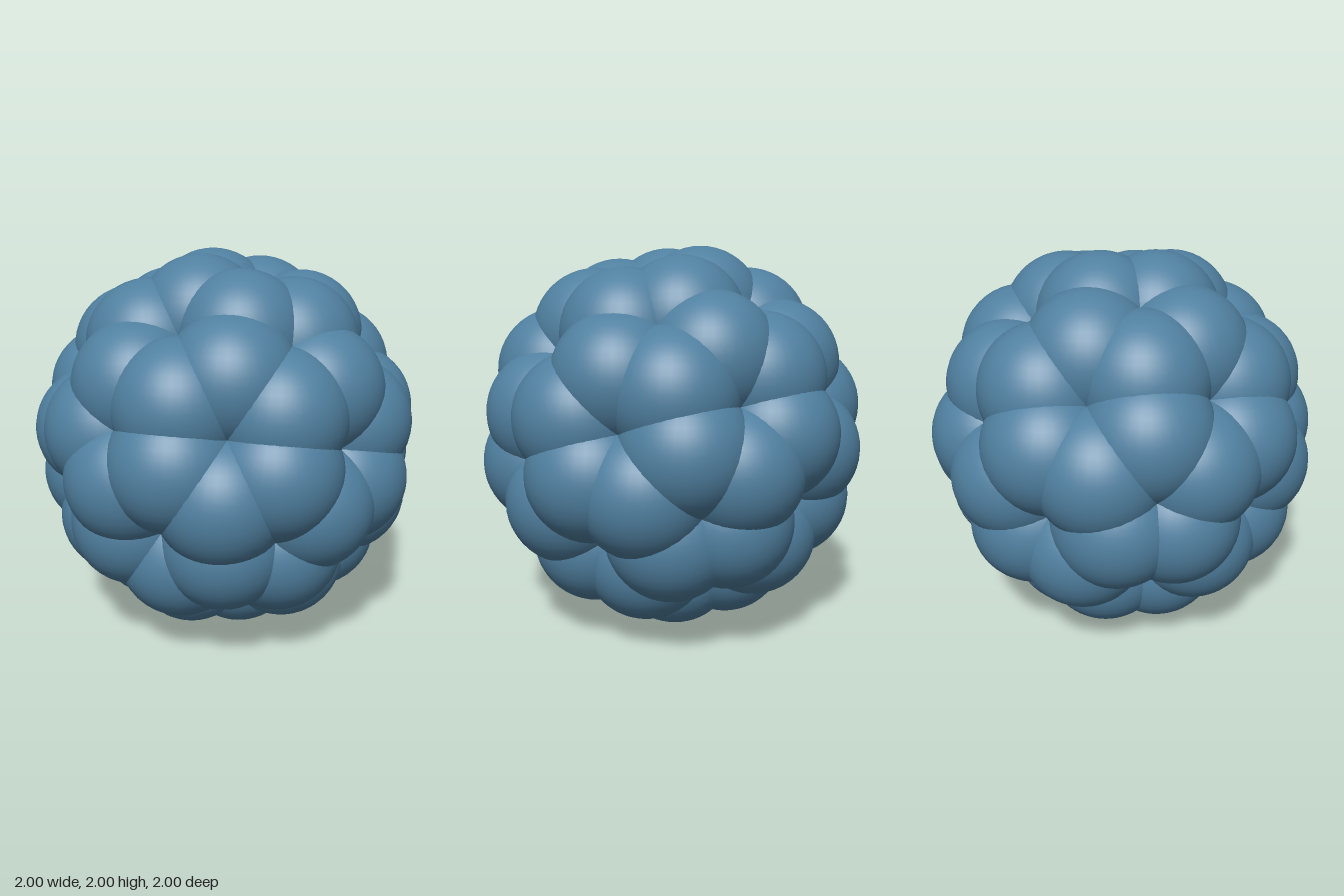
import * as THREE from 'three';

// Hollow cage of 60 overlapping balls, one on each corner of a truncated icosahedron
const CAGE_RADIUS = 0.6875;
const BALL_RADIUS = 0.329;
const CUT = 0.337; // how far along each icosahedron edge a ball sits

// The twelve corners of an icosahedron: three golden rectangles
function icosahedronCorners() {
  const phi = (1 + Math.sqrt(5)) / 2;
  const corners = [];
  for (const a of [-phi, phi]) {
    for (const b of [-1, 1]) {
      corners.push(
        new THREE.Vector3(a, b, 0),
        new THREE.Vector3(0, a, b),
        new THREE.Vector3(b, 0, a),
      );
    }
  }
  return corners;
}

export function createModel() {
  const model = new THREE.Group();
  model.name = 'ballCage';

  // Tilt of the whole cage
  const xAxis = new THREE.Vector3(0.3992, 0.3904, 0.8297).normalize();
  const zAxis = xAxis.clone().cross(new THREE.Vector3(-0.7238, 0.6896, 0.0236)).normalize();
  const yAxis = zAxis.clone().cross(xAxis);
  const tilt = new THREE.Matrix4().makeBasis(xAxis, yAxis, zAxis);

  const geometry = new THREE.SphereGeometry(BALL_RADIUS, 40, 24);
  const material = new THREE.MeshStandardMaterial({ color: 0x5080a0 });

  // Two balls on every edge, one near each end
  const corners = icosahedronCorners();
  for (const from of corners) {
    for (const to of corners) {
      const length = from.distanceTo(to);
      if (length < 1.9 || length > 2.1) continue;
      const ball = new THREE.Mesh(geometry, material);
      ball.name = 'ball';
      ball.position.lerpVectors(from, to, CUT).setLength(CAGE_RADIUS).applyMatrix4(tilt);
      ball.position.y += 1;
      model.add(ball);
    }
  }
  return model;
}
